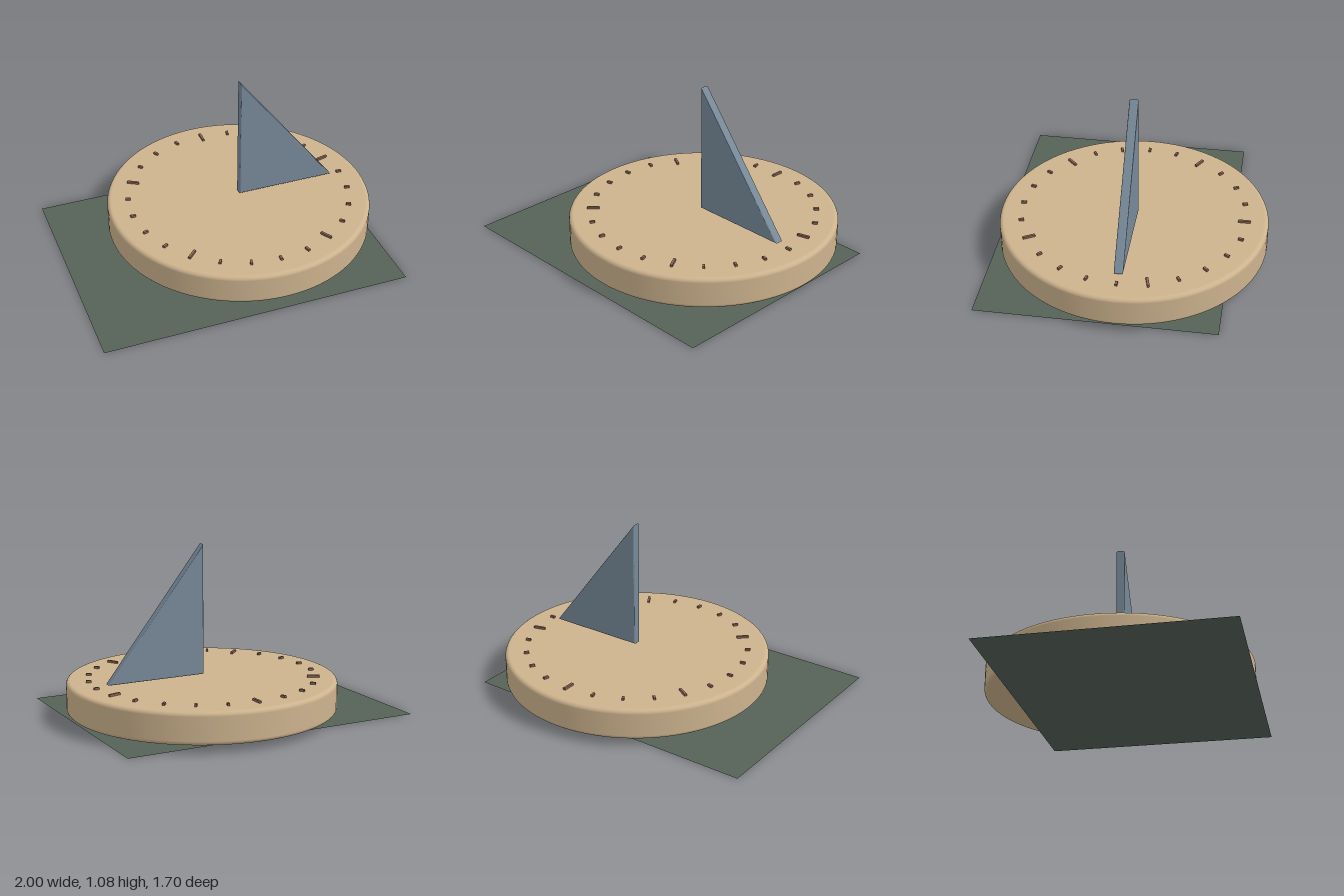
import * as THREE from 'three';

const CX = 0.158, CZ = -0.013; // dial centre
const RADIUS = 0.84, BOTTOM = 0.05, TOP = 0.246;

function material(name, color, extra = {}) {
  return new THREE.MeshStandardMaterial({ name, color, ...extra });
}

function addMesh(parent, name, geometry, mat) {
  const mesh = new THREE.Mesh(geometry, mat);
  mesh.name = name;
  parent.add(mesh);
  return mesh;
}

// Solid disc profile with rounded rims, bottom to top
function dialGeometry() {
  const bevel = 0.026, steps = 6, inner = RADIUS - bevel;
  const points = [new THREE.Vector2(0, BOTTOM), new THREE.Vector2(inner - 0.004, BOTTOM)];
  const arc = (cy, from) => {
    for (let i = 0; i <= steps; i++) {
      const a = from + (i / steps) * Math.PI / 2;
      points.push(new THREE.Vector2(inner + bevel * Math.cos(a), cy + bevel * Math.sin(a)));
    }
  };
  arc(BOTTOM + bevel, -Math.PI / 2);
  arc(TOP - bevel, 0);
  points.push(new THREE.Vector2(inner - 0.004, TOP), new THREE.Vector2(0, TOP));
  return new THREE.LatheGeometry(points, 96);
}

// Upright triangle with slightly softened edges
function gnomonGeometry() {
  const bevel = 0.009, thickness = 0.055;
  const shape = new THREE.Shape();
  shape.moveTo(0, 0);
  shape.lineTo(0.634, 0);
  shape.lineTo(0, 0.81);
  shape.closePath();
  const geometry = new THREE.ExtrudeGeometry(shape, {
    depth: thickness - 2 * bevel,
    bevelEnabled: true,
    bevelThickness: bevel,
    bevelSize: bevel,
    bevelOffset: -bevel,
    bevelSegments: 3,
  });
  return geometry.translate(0, 0, -thickness / 2 + bevel);
}

export function createModel() {
  const model = new THREE.Group();
  model.name = 'sundial';

  const stone = material('sandstone', 0xcdb38e);
  const slate = material('slate blue', 0x778998);
  const brown = material('mark brown', 0x8b6650);
  const green = material('ground green', 0x556258, { side: THREE.DoubleSide });

  // Flat ground sheet
  const ground = addMesh(model, 'groundSheet', new THREE.PlaneGeometry(1.935, 1.475), green);
  ground.rotation.x = -Math.PI / 2;
  ground.position.set(-0.0325, 0, 0.1125);

  // Dial and its pointer
  addMesh(model, 'dial', dialGeometry(), stone).position.set(CX, 0, CZ);
  addMesh(model, 'gnomon', gnomonGeometry(), slate).position.set(CX, 0.266, CZ);

  // Hour marks, every fifth one long
  const marks = new THREE.Group();
  marks.name = 'hourMarks';
  model.add(marks);
  for (let i = 0; i < 24; i++) {
    const long = i % 5 === 0;
    const angle = (i / 24) * Math.PI * 2;
    const length = long ? 0.077 : 0.032;
    const r = long ? 0.69 : 0.706;
    const mark = addMesh(marks, long ? 'longMark' : 'shortMark',
      new THREE.BoxGeometry(0.015, 0.018, length), brown);
    mark.position.set(CX + r * Math.sin(angle), TOP + 0.005, CZ - r * Math.cos(angle));
    mark.rotation.y = -angle;
  }

  return model;
}
